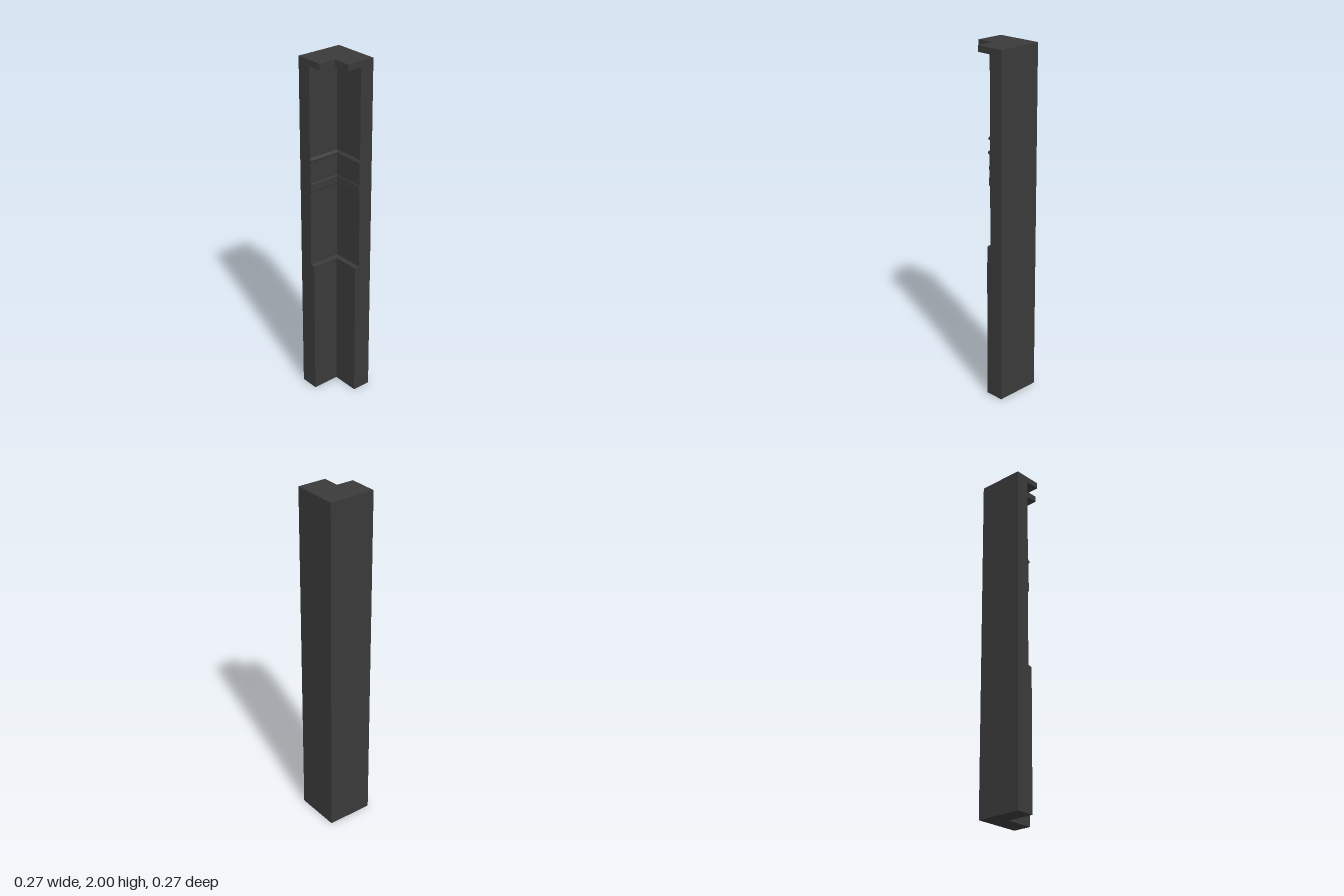
import * as THREE from 'three';

const OUTER = -0.138, END = 0.132;
const material = new THREE.MeshStandardMaterial({ color: 0x3a3a3a, flatShading: true });

// Lofts L-shaped sections; each row is [height, inner corner, arm end].
function lShape(name, outer, rows) {
  const points = [], faces = [];
  for (const [y, c, e] of rows) {
    for (const [x, z] of [[outer, outer], [e, outer], [e, c], [c, c], [c, e], [outer, e]]) points.push(x, y, z);
  }
  const top = (rows.length - 1) * 6;
  for (let r = 0; r < top; r += 6) {
    for (let i = 0; i < 6; i++) {
      const a = r + i, b = r + (i + 1) % 6;
      faces.push(a, a + 6, b + 6, a, b + 6, b);
    }
  }
  for (let i = 1; i < 5; i++) faces.push(0, i, i + 1, top, top + i + 1, top + i);
  let geometry = new THREE.BufferGeometry();
  geometry.setAttribute('position', new THREE.Float32BufferAttribute(points, 3));
  geometry.setIndex(faces);
  geometry = geometry.toNonIndexed();
  geometry.computeVertexNormals();
  const mesh = new THREE.Mesh(geometry, material);
  mesh.name = name;
  return mesh;
}

export function createModel() {
  const group = new THREE.Group();
  group.name = 'cornerPillar';

  // Plinth, slimmer shaft and overhanging cap form one solid body
  group.add(lShape('pillarBody', OUTER, [
    [0, -0.029, END],
    [0.81, -0.029, END],
    [0.815, -0.055, END],
    [1.965, -0.055, END],
    [1.965, 0.03, END],
    [2, 0.03, END],
  ]));

  // Thin mouldings following the inner corner of the shaft
  const back = -0.06;
  group.add(lShape('lowerMoulding', back, [
    [1.257, -0.05, 0.132],
    [1.262, -0.046, 0.133],
    [1.305, -0.049, 0.133],
    [1.312, -0.053, 0.135],
  ]));
  group.add(lShape('friezeBand', back, [
    [1.31, -0.052, 0.1325],
    [1.436, -0.052, 0.1325],
  ]));
  group.add(lShape('upperMoulding', back, [
    [1.434, -0.049, 0.134],
    [1.441, -0.042, 0.136],
    [1.448, -0.044, 0.134],
    [1.457, -0.054, 0.133],
  ]));
  return group;
}
